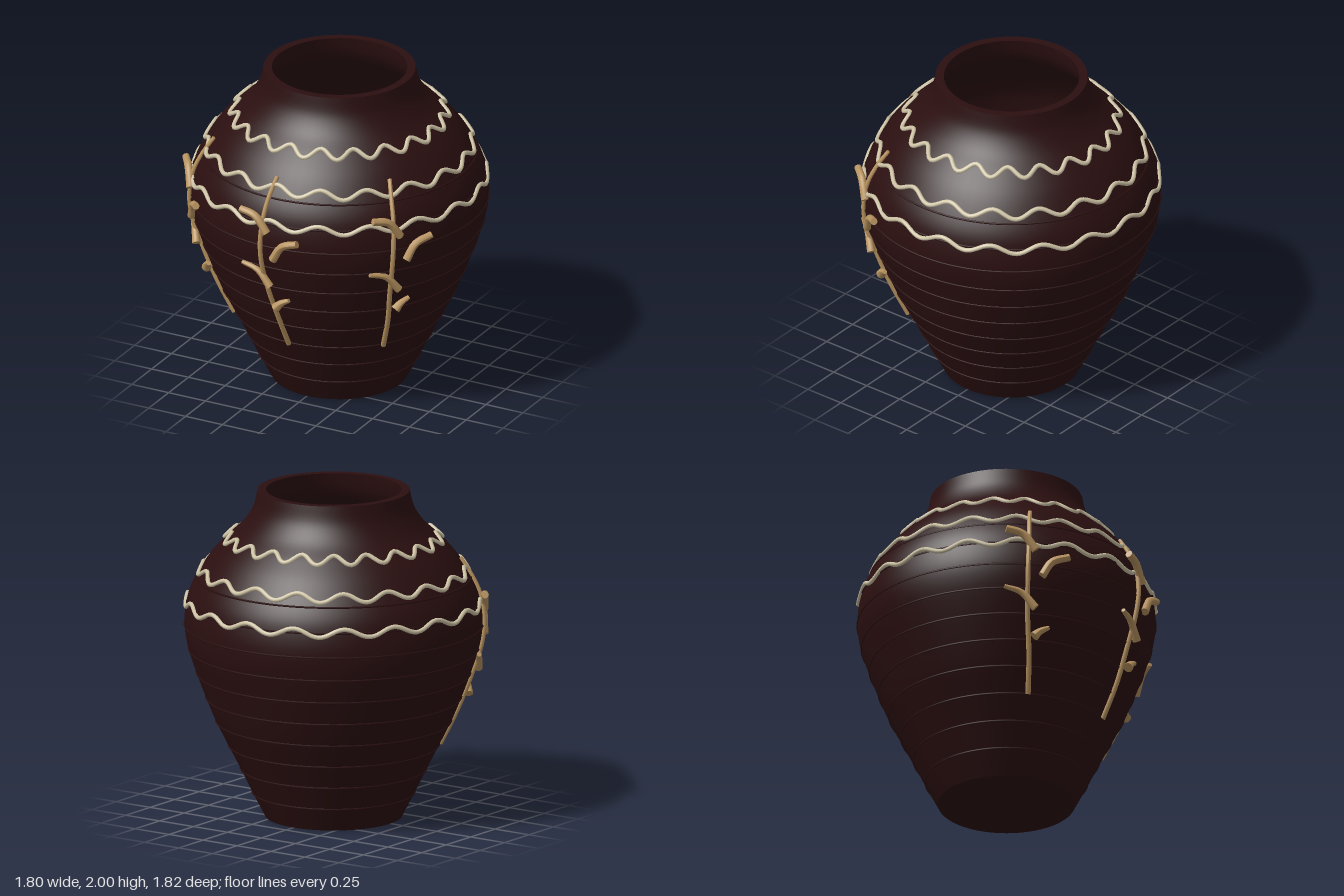
import * as THREE from 'three';
import { toCreasedNormals } from 'three/addons/utils/BufferGeometryUtils.js';

const V = (x, y, z) => new THREE.Vector3(x, y, z);
const mat = (name, color) => {
  const m = new THREE.MeshStandardMaterial({ color });
  m.name = name;
  return m;
};

// Outer profile of the pot, as radius and height
const outer = new THREE.SplineCurve([
  [0.41, 0], [0.487, 0.15], [0.56, 0.3], [0.636, 0.45], [0.71, 0.6], [0.775, 0.76],
  [0.84, 0.94], [0.88, 1.08], [0.892, 1.2], [0.878, 1.32], [0.85, 1.41], [0.795, 1.51],
  [0.725, 1.61], [0.64, 1.7], [0.545, 1.79], [0.482, 1.89], [0.455, 2],
].map(([r, y]) => new THREE.Vector2(r, y))).getPoints(80);

// Pot radius at a height
function radiusAt(y) {
  for (let i = 1; i < outer.length; i++) {
    const a = outer[i - 1], b = outer[i];
    if (y <= b.y) return a.x + (b.x - a.x) * (y - a.y) / (b.y - a.y);
  }
  return outer[outer.length - 1].x;
}

// Capped, tapered rod bent along a curve in the plane facing +z
function bentRod(curve, r0, r1, segments) {
  const geo = new THREE.CylinderGeometry(r1, r0, 1, 10, segments);
  const pos = geo.attributes.position;
  for (let i = 0; i < pos.count; i++) {
    const t = THREE.MathUtils.clamp(pos.getY(i) + 0.5, 0, 1);
    const along = curve.getPoint(t), tangent = curve.getTangent(t);
    const side = tangent.clone().cross(V(0, 0, 1)).normalize();
    const out = side.clone().cross(tangent);
    along.addScaledVector(side, pos.getX(i)).addScaledVector(out, pos.getZ(i));
    pos.setXYZ(i, along.x, along.y, along.z);
  }
  geo.computeVertexNormals();
  return geo;
}

export function createModel() {
  const clay = mat('dark clay', 0x2b0f10);
  const cream = mat('cream cord', 0xcdc2a4);
  const tan = mat('tan twig', 0xb8935f);
  const model = new THREE.Group();
  model.name = 'decoratedPot';
  const add = (parent, name, geo, material) => {
    const mesh = new THREE.Mesh(geo, material);
    mesh.name = name;
    parent.add(mesh);
    return mesh;
  };

  // Hollow pot wall with a floor
  const inner = outer.filter((p) => p.y > 0.08)
    .map((p) => new THREE.Vector2(p.x - 0.05, p.y)).reverse();
  const profile = [new THREE.Vector2(0, 0), ...outer, ...inner, new THREE.Vector2(0, inner.at(-1).y)];
  add(model, 'potBody', toCreasedNormals(new THREE.LatheGeometry(profile, 72), 0.7), clay);

  // Fine turning ridges
  for (let i = 1; i <= 10; i++) {
    const y = i * 0.1465;
    const ridge = add(model, 'turningRidge', new THREE.TorusGeometry(radiusAt(y), 0.006, 6, 72), clay);
    ridge.rotation.x = Math.PI / 2;
    ridge.position.y = y;
  }

  // Wavy cords that follow the shoulder
  for (const [height, waves] of [[1.71, 20], [1.515, 18], [1.32, 18]]) {
    const points = [];
    const steps = waves * 8;
    for (let i = 0; i < steps; i++) {
      const a = i / steps * Math.PI * 2;
      const y = height + 0.024 * Math.cos(a * waves);
      const r = radiusAt(y) + 0.004;
      points.push(V(r * Math.sin(a), y, r * Math.cos(a)));
    }
    const path = new THREE.CatmullRomCurve3(points, true);
    add(model, 'wavyCord', new THREE.TubeGeometry(path, waves * 14, 0.014, 8, true), cream);
  }

  // Leaves: start, middle, end, distance from the axis, start and end radius
  const leaves = [
    [[-0.19, 1.39], [-0.09, 1.365], [-0.01, 1.265], 0.9, 0.022, 0.026],
    [[0.03, 1.1], [0.09, 1.195], [0.195, 1.235], 0.9, 0.026, 0.022],
    [[-0.195, 1.025], [-0.09, 0.995], [-0.005, 0.9], 0.865, 0.013, 0.026],
    [[0.0, 0.74], [0.035, 0.775], [0.09, 0.805], 0.805, 0.03, 0.013],
  ];

  // Three twigs spread over the front
  for (const angle of [-0.92, 0, 0.92]) {
    const twig = new THREE.Group();
    twig.name = 'twig';
    twig.rotation.y = angle;
    model.add(twig);
    const stem = new THREE.CatmullRomCurve3([
      [-0.002, 0.435], [-0.018, 0.65], [-0.042, 0.85], [-0.055, 1.05],
      [-0.055, 1.2], [-0.045, 1.36], [-0.033, 1.48], [-0.015, 1.58],
    ].map(([x, y]) => V(x, y, radiusAt(y) + 0.008)));
    add(twig, 'stem', bentRod(stem, 0.016, 0.013, 28), tan);
    for (const [a, b, c, z, r0, r1] of leaves) {
      const path = new THREE.CatmullRomCurve3([a, b, c].map(([x, y]) => V(x, y, z)));
      add(twig, 'leaf', bentRod(path, r0, r1, 8), tan);
    }
  }

  model.position.z = -0.012;
  return model;
}
